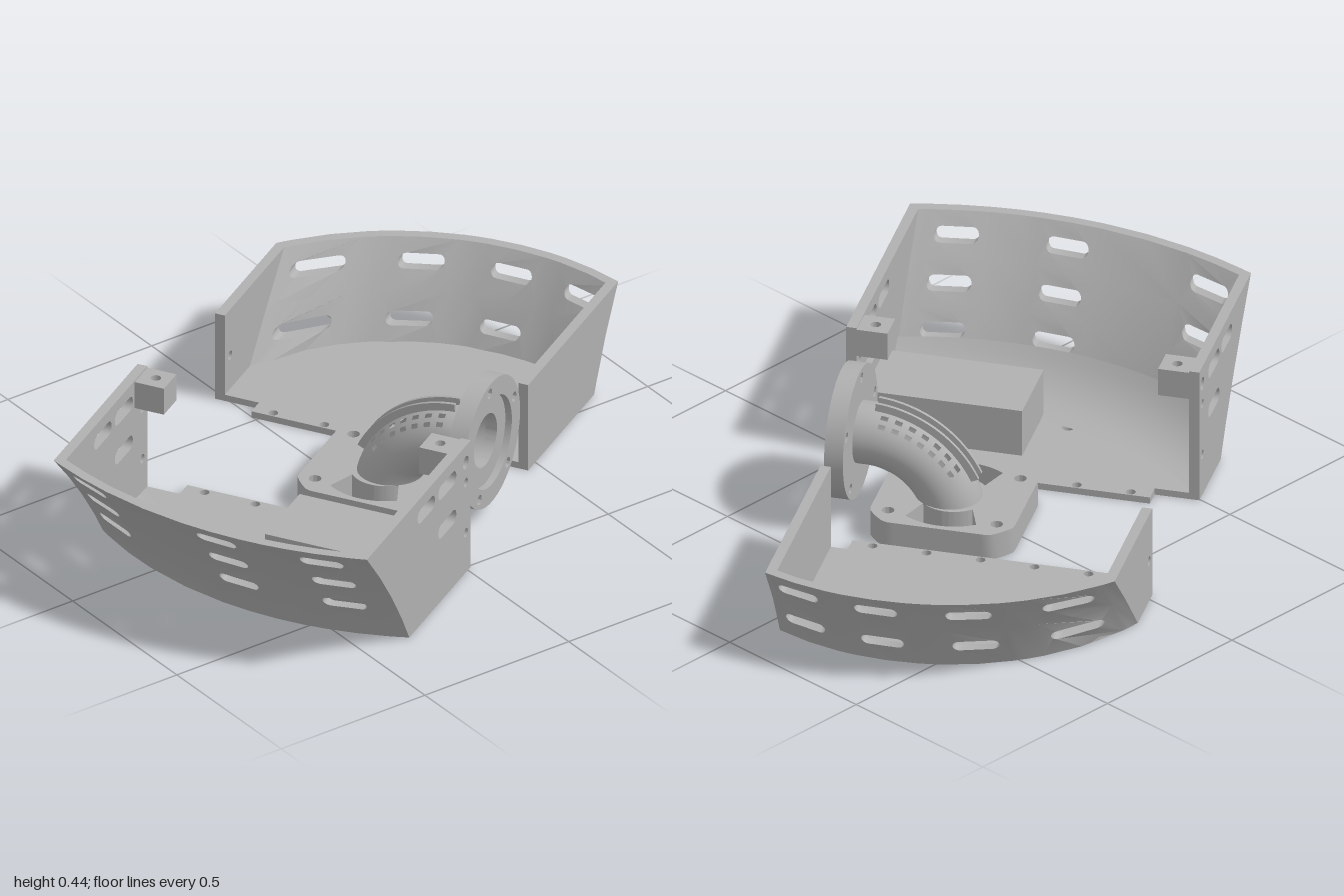
import * as THREE from 'three';
import { mergeGeometries, toCreasedNormals } from 'three/addons/utils/BufferGeometryUtils.js';

const grey = new THREE.MeshStandardMaterial({ color: 0xb0b0b0, side: THREE.DoubleSide });
grey.name = 'plain grey';

function mesh(name, geometry, parent) {
  const m = new THREE.Mesh(geometry, grey);
  m.name = name;
  parent.add(m);
  return m;
}

const poly = pts => new THREE.Shape(pts.map(p => new THREE.Vector2(p[0], p[1])));
const extrude = (shape, depth, seg = 10) =>
  new THREE.ExtrudeGeometry(shape, { depth, bevelEnabled: false, curveSegments: seg });

function hole(x, y, r) {
  const p = new THREE.Path();
  p.absarc(x, y, r, 0, Math.PI * 2, true);
  return p;
}

function slot(x, y, length, width) {
  const p = new THREE.Path(), r = width / 2, h = length / 2 - r;
  p.absarc(x + h, y, r, -Math.PI / 2, Math.PI / 2, false);
  p.absarc(x - h, y, r, Math.PI / 2, Math.PI * 1.5, false);
  p.closePath();
  return p;
}

// lays an extruded (x, z) outline flat, with its underside at y
function flat(shape, depth, y = 0, seg = 10) {
  return extrude(shape, depth, seg).rotateX(Math.PI / 2).translate(0, y + depth, 0);
}

const THICK = 0.03;

function makeTray(o) {
  const tray = new THREE.Group();
  tray.name = o.name;
  const radius = y => {
    const t = y / o.h;
    return o.r0 + o.flare * (0.75 * t + 0.25 * t * t);
  };
  const wallX = (z, r) => o.cx + o.side * Math.sqrt(r * r - (z - o.cz) ** 2);

  // flared curved wall, tiled so that each slot sits in its own tile
  const zs = [o.z0];
  o.slotZ.forEach(z => zs.push(z - 0.09, z + 0.09));
  zs.push(o.z1);
  const tiles = [];
  for (let i = 0; i < zs.length - 1; i++) {
    for (let j = 0; j < o.rows.length - 1; j++) {
      const [a, b, c, d] = [zs[i], zs[i + 1], o.rows[j], o.rows[j + 1]];
      const m = (a + b) / 2;
      const shape = poly([[a, c], [m, c], [b, c], [b, d], [m, d], [a, d]]);
      const sy = o.slotY.find(y => y > c && y < d);
      if (sy && i % 2) shape.holes.push(slot(m, sy, 0.125, 0.038));
      tiles.push(extrude(shape, THICK, 6));
    }
  }
  const wall = mergeGeometries(tiles);
  const p = wall.attributes.position;
  for (let i = 0; i < p.count; i++) {
    const z = p.getX(i), y = p.getY(i), d = p.getZ(i);
    const r = radius(y) - (o.side > 0 ? d : THICK - d);
    p.setXYZ(i, wallX(z, r), y, z);
  }
  mesh('curvedWall', toCreasedNormals(wall, 0.5), tray);

  // end plates
  [[o.z0, o.z0, 'backPlate'], [o.z1, o.z1 - THICK, 'frontPlate']].forEach(([outer, start, name], k) => {
    const pts = [[o.edge, o.h], [o.edge, 0]];
    for (let i = 0; i <= 6; i++) pts.push([wallX(outer, radius(o.h * i / 6)) - o.side * 0.002, o.h * i / 6]);
    const shape = poly(pts);
    shape.holes.push(...o.plateHoles(k));
    mesh(name, extrude(shape, THICK).translate(0, 0, start), tray);
  });

  // floor with a bolted tab along the inner edge
  const pts = [[o.edge, o.z0], [o.edge, -0.45], [o.tab, -0.45], [o.tab, 0.3], [o.edge, 0.3], [o.edge, o.z1]];
  for (let i = 0; i <= 24; i++) {
    const z = o.z1 + (o.z0 - o.z1) * i / 24;
    pts.push([wallX(z, o.r0 - 0.002), z]);
  }
  const floor = poly(pts);
  for (let i = 0; i < 5; i++) floor.holes.push(hole(o.tab + o.side * 0.017, -0.39 + i * 0.157, 0.014));
  (o.floorHoles || []).forEach(h => floor.holes.push(hole(h[0], h[1], 0.018)));
  mesh('floor', flat(floor, 0.02), tray);

  // sweeping fillet between floor and wall
  if (o.fillet) {
    const g = new THREE.PlaneGeometry(1, 1, 24, 8);
    const q = g.attributes.position;
    const [A, B, C] = o.fillet;
    for (let i = 0; i < q.count; i++) {
      const z = o.z0 + 0.02 + (o.z1 - o.z0 - 0.04) * (q.getX(i) + 0.5);
      const t = q.getY(i) + 0.5, s = 1 - t;
      const at = k => s * s * A[k] + 2 * s * t * B[k] + t * t * C[k];
      q.setXYZ(i, wallX(z, at(0)), at(1), z);
    }
    g.computeVertexNormals();
    mesh('floorFillet', g, tray);
  }
  return tray;
}

function makeElbow(parent) {
  const bend = 0.245, r = 0.09, N = 24, M = 40, cz = 0.307, cx = 0.036;
  const pos = [], idx = [];
  // perforated pipe bending from the base up to the flange
  for (let i = 0; i <= N + 1; i++) {
    const a = Math.min(i / N, 1) * Math.PI / 2, extra = i > N ? 0.04 : 0;
    for (let j = 0; j <= M; j++) {
      const b = (j - 0.5) / M * Math.PI * 2, rad = bend + r * Math.cos(b);
      pos.push(cx + r * Math.sin(b), rad * Math.sin(a), cz - rad * Math.cos(a) + extra);
    }
  }
  for (let i = 0; i <= N; i++) {
    for (let j = 0; j < M; j++) {
      const k = Math.min(j, M - j), mid = i > 7 && i < 22;
      if (mid && (k === 0 && i % 7 !== 0 || (k === 3 || k === 5) && i % 2)) continue;
      const a = i * (M + 1) + j, c = a + M + 1;
      idx.push(a, a + 1, c, a + 1, c + 1, c);
    }
  }
  const g = new THREE.BufferGeometry();
  g.setAttribute('position', new THREE.Float32BufferAttribute(pos, 3));
  g.setIndex(idx);
  g.computeVertexNormals();
  mesh('elbowPipe', g, parent);

  // twin fins along the back of the bend
  for (const s of [-1, 1]) {
    const fin = new THREE.Shape();
    const a0 = Math.PI * 0.52, a1 = Math.PI * 0.86;
    fin.absarc(0, 0, bend + 0.11, a0, a1, false);
    fin.absarc(0, 0, bend + 0.08, a1, a0, true);
    mesh('pipeFin', extrude(fin, 0.01, 16).rotateY(-Math.PI / 2).translate(cx + s * 0.018 + 0.005, 0, cz), parent);
  }

  // upright flange with a recessed face
  const ring = new THREE.Shape().absarc(0, 0, 0.195, 0, Math.PI * 2);
  ring.holes.push(hole(0, 0, 0.138));
  for (let i = 0; i < 5; i++) {
    const a = (95 + i * 72) * Math.PI / 180;
    ring.holes.push(hole(0.167 * Math.cos(a), 0.167 * Math.sin(a), 0.015));
  }
  mesh('flangeRing', toCreasedNormals(extrude(ring, 0.055, 32), 0.5).translate(cx, bend, 0.335), parent);
  const face = new THREE.Shape().absarc(0, 0, 0.14, 0, Math.PI * 2);
  face.holes.push(hole(0, 0, 0.08));
  mesh('flangeFace', toCreasedNormals(extrude(face, 0.035, 32), 0.5).translate(cx, bend, 0.335), parent);

  // base plate: a disc trimmed on four sides, with two kidney openings
  const pts = [];
  for (let i = 0; i < 72; i++) {
    const a = i / 72 * Math.PI * 2, lim = (v, m) => Math.max(-m, Math.min(m, v));
    pts.push([lim(0.252 * Math.cos(a), 0.2), lim(0.252 * Math.sin(a), 0.21)]);
  }
  const base = poly(pts);
  base.holes.push(hole(0, 0, 0.078));
  for (const s of [-1, 1]) {
    for (const t of [-1, 1]) base.holes.push(hole(s * 0.133, t * 0.158, 0.018));
    const kidney = new THREE.Path(), c = s > 0 ? 0 : Math.PI;
    kidney.absarc(0, 0, 0.182, c - 0.6, c + 0.6, false);
    kidney.absarc(0, 0, 0.1, c + 0.8, c - 0.8, true);
    kidney.closePath();
    base.holes.push(kidney);
  }
  mesh('basePlate', toCreasedNormals(flat(base, 0.08, 0, 20), 0.5).translate(cx, 0, 0.062), parent);
}

export function createModel() {
  const model = new THREE.Group();
  model.name = 'splitHousing';
  const body = new THREE.Group();
  body.name = 'turnedAssembly';
  body.rotation.y = Math.PI / 6;
  model.add(body);

  const large = makeTray({
    name: 'largeTray', side: -1, cx: 0.354, cz: 0.1, r0: 1.074, flare: 0.28, h: 0.415,
    z0: -0.58, z1: 0.447, edge: -0.238, tab: -0.185,
    rows: [0, 0.09, 0.195, 0.305, 0.415], slotY: [0.14, 0.25, 0.36], slotZ: [-0.465, -0.02, 0.3],
    floorHoles: [[-0.509, -0.128], [-0.509, 0.13]],
    fillet: [[0.89, 0.021], [1.02, 0.021], [1.1, 0.13]],
    plateHoles: () => [
      slot(-0.545, 0.355, 0.12, 0.045), slot(-0.4, 0.355, 0.125, 0.045), slot(-0.4, 0.228, 0.125, 0.045),
      hole(-0.272, 0.36, 0.02), hole(-0.272, 0.295, 0.014), hole(-0.272, 0.13, 0.014),
    ],
  });
  body.add(large);
  // drilled corner blocks and the floor box
  for (const z of [-0.505, 0.372]) {
    const block = poly([[-0.325, z - 0.045], [-0.238, z - 0.045], [-0.238, z + 0.045], [-0.325, z + 0.045]]);
    block.holes.push(hole(-0.28, z, 0.015));
    mesh('cornerBlock', flat(block, 0.085, 0.325), large);
  }
  mesh('floorBox', new THREE.BoxGeometry(0.24, 0.15, 0.46).translate(-0.442, 0.09, 0.187), large);

  body.add(makeTray({
    name: 'smallTray', side: 1, cx: 0.153, cz: 0.038, r0: 0.7, flare: 0.15, h: 0.28,
    z0: -0.585, z1: 0.38, edge: 0.309, tab: 0.257,
    rows: [0, 0.15, 0.28], slotY: [0.08, 0.222], slotZ: [-0.465, -0.21, 0.05, 0.285],
    plateHoles: k => (k === 0 ? [hole(0.345, 0.13, 0.014)] : []),
  }));

  const elbow = new THREE.Group();
  elbow.name = 'elbowFitting';
  body.add(elbow);
  makeElbow(elbow);
  return model;
}
